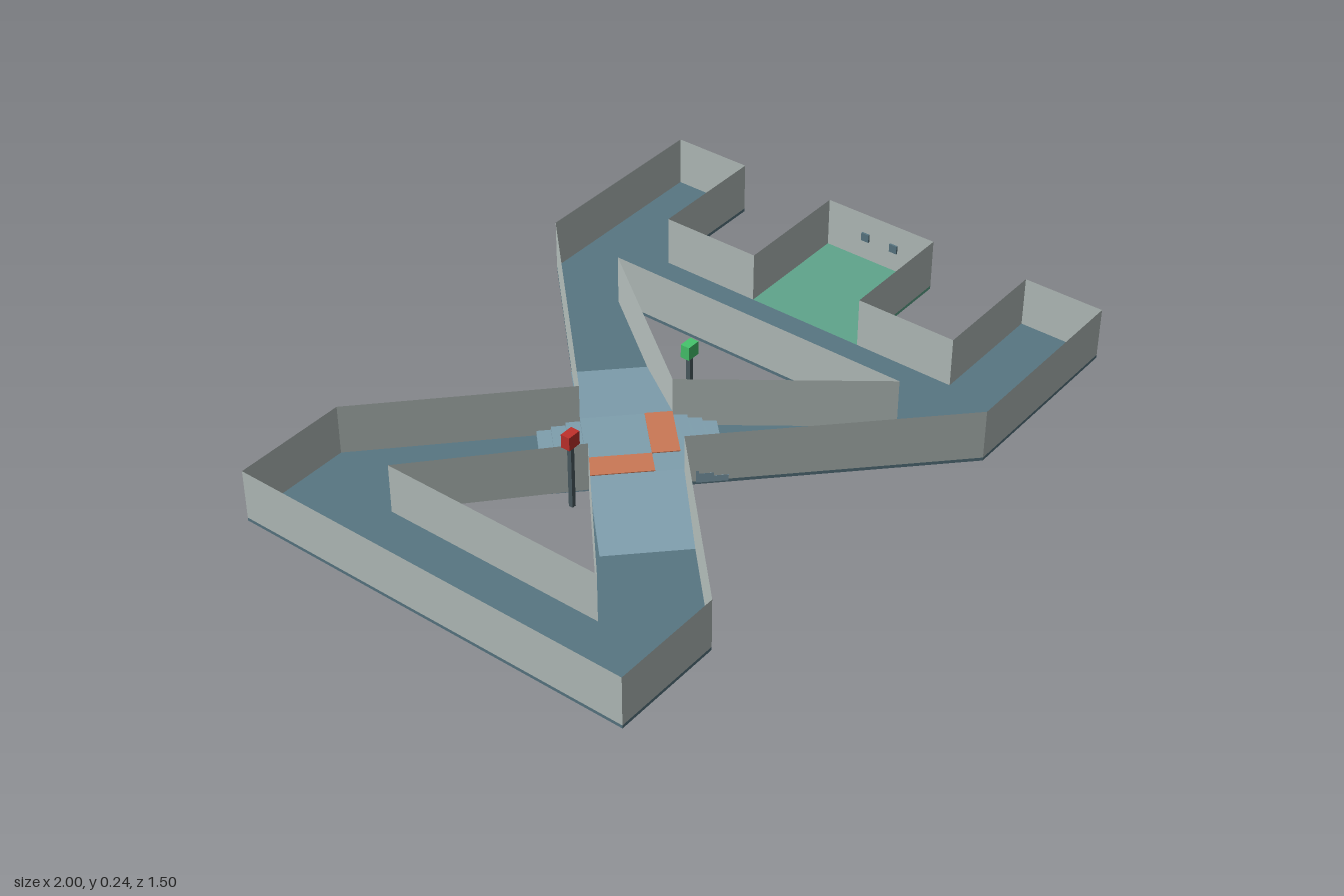
import * as THREE from 'three';

const mat = (name, color, side = THREE.FrontSide) => {
  const m = new THREE.MeshStandardMaterial({ color, side });
  m.name = name;
  return m;
};

export function createModel() {
  const floorBlue = mat('floor slate blue', 0x587682);
  const bridgeBlue = mat('bridge light blue', 0x7f9fae);
  const wallGrey = mat('wall grey', 0xb4bebb, THREE.DoubleSide);
  const bayGreen = mat('bay green', 0x5fa58c);
  const orange = mat('marker orange', 0xcb7856);
  const postGrey = mat('post grey', 0x4a5a60);
  const lampRed = mat('lamp red', 0xc0302b);
  const lampGreen = mat('lamp green', 0x45c46c);

  const model = new THREE.Group();
  const FLOOR = 0.01, TOP = 0.165, CX = -0.18;

  const add = (parent, name, geometry, material, x = 0, y = 0, z = 0) => {
    const mesh = new THREE.Mesh(geometry, material);
    mesh.name = name;
    mesh.position.set(x, y, z);
    parent.add(mesh);
    return mesh;
  };
  const box = (parent, name, w, h, d, material, x, y, z) =>
    add(parent, name, new THREE.BoxGeometry(w, h, d), material, x, y, z);
  const vec = (list) => list.map(([x, z]) => new THREE.Vector2(x, z));

  // Plan lines (x, z): outer border and the two triangular openings
  const half = [[-1, 0.63], [-0.65, 0.63], [CX, 0.18], [0.4, 0.75], [1, 0.75],
    [1, 0.5], [0.62, 0.5], [0.62, 0.185]];
  const border = [...half, ...half.map(([x, z]) => [x, -z]).reverse()];
  const openings = [
    [[-0.75, -0.35], [-0.75, 0.35], [-0.36, 0]],
    [[0.37, -0.49], [0.37, 0.49], [0, 0]],
  ];

  // Corridor floor
  const shape = new THREE.Shape(vec(border));
  openings.forEach((o) => shape.holes.push(new THREE.Path(vec(o))));
  const floor = new THREE.ExtrudeGeometry(shape, { depth: FLOOR, bevelEnabled: false });
  floor.rotateX(Math.PI / 2).translate(0, FLOOR, 0);
  add(model, 'corridorFloor', floor, floorBlue);

  // Green bay floor
  box(model, 'bayFloor', 0.38, FLOOR, 0.37, bayGreen, 0.81, FLOOR / 2, 0);

  // Thin walls along every line, leaving the bay open to the corridor
  const walls = new THREE.Group();
  walls.name = 'walls';
  model.add(walls);
  const wallRun = (points, closed) => {
    const n = closed ? points.length : points.length - 1;
    for (let i = 0; i < n; i++) {
      const [x1, z1] = points[i], [x2, z2] = points[(i + 1) % points.length];
      const g = new THREE.PlaneGeometry(Math.hypot(x2 - x1, z2 - z1), TOP - FLOOR);
      const m = add(walls, 'wall', g, wallGrey, (x1 + x2) / 2, (TOP + FLOOR) / 2, (z1 + z2) / 2);
      m.rotation.y = -Math.atan2(z2 - z1, x2 - x1);
    }
  };
  const bay = [[1, 0.185], [1, -0.185]];
  wallRun([...half, ...bay, ...half.map(([x, z]) => [x, -z]).reverse()], true);
  openings.forEach((o) => wallRun(o, true));

  // Small sockets on the bay end wall
  for (const z of [-0.05, 0.05]) box(model, 'baySocket', 0.008, 0.026, 0.026, floorBlue, 0.998, 0.087, z);

  // Crossing: ramp over one diagonal, steps on the other
  const crossing = new THREE.Group();
  crossing.name = 'crossing';
  crossing.position.x = CX;
  crossing.rotation.y = Math.PI / 4;
  model.add(crossing);
  const H = 0.055, C = 0.127;
  const profile = new THREE.Shape(vec([[-0.403, FLOOR], [0.403, FLOOR], [C, H], [-C, H]]));
  const ramp = new THREE.ExtrudeGeometry(profile, { depth: 2 * C, bevelEnabled: false });
  add(crossing, 'rampBridge', ramp.translate(0, 0, -C), bridgeBlue);
  for (const s of [-1, 1]) {
    [0.045, 0.035, 0.025].forEach((top, i) => {
      box(crossing, 'step', 2 * C, top - 0.005, 0.04, bridgeBlue,
        0, (top + 0.005) / 2, s * (C + 0.04 * (i + 0.5)));
    });
  }

  // Orange floor markers on the platform
  box(crossing, 'sideMarker', 0.077, 0.003, 0.177, orange, -0.0885, H + 0.001, -0.0385);
  box(crossing, 'endMarker', 0.177, 0.003, 0.077, orange, 0.0385, H + 0.001, 0.0885);

  // Signal posts
  const signal = (name, x, lamp) => {
    const g = new THREE.Group();
    g.name = name;
    g.position.x = x;
    box(g, 'post', 0.013, 0.2, 0.013, postGrey, 0, 0.1, 0);
    box(g, 'lamp', 0.042, 0.042, 0.028, lamp, 0, 0.222, 0);
    model.add(g);
  };
  signal('redSignal', -0.43, lampRed);
  signal('greenSignal', 0.075, lampGreen);

  return model;
}
